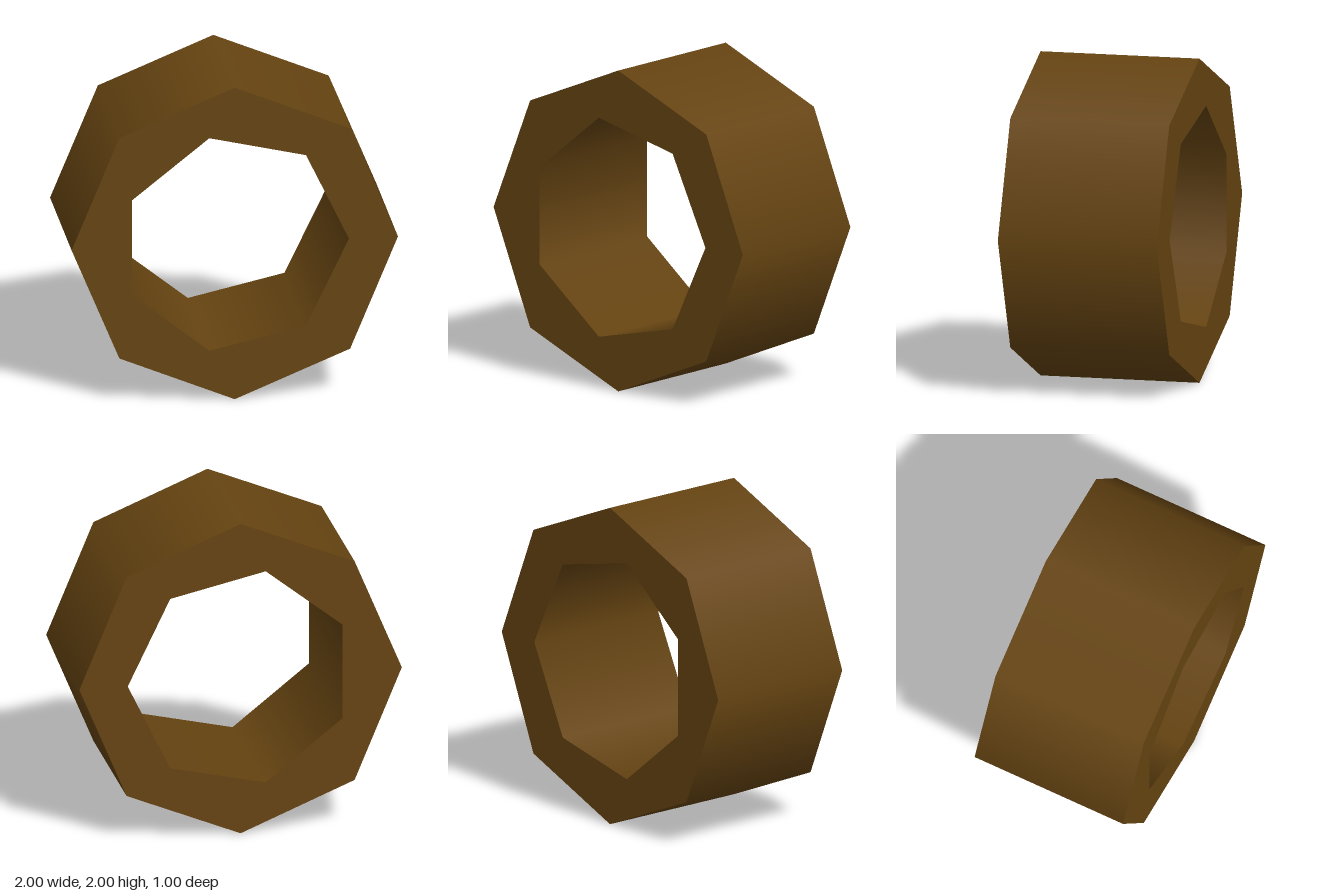
import * as THREE from 'three';

const OUTER_R = 1, OUTER_SIDES = 8;
const INNER_R = 0.7, INNER_SIDES = 7;
const HALF_DEPTH = 0.5;

// Corners of a regular polygon with its first corner on +x
function polygon(radius, sides) {
  return Array.from({ length: sides }, (_, i) => {
    const a = (i / sides) * Math.PI * 2;
    return new THREE.Vector2(Math.cos(a) * radius, Math.sin(a) * radius);
  });
}

// Smooth-shaded wall along z; direction 1 faces outward, -1 faces the bore
function wall(radius, sides, direction) {
  const h = HALF_DEPTH * direction;
  const profile = [new THREE.Vector2(radius, -h), new THREE.Vector2(radius, h)];
  return new THREE.LatheGeometry(profile, sides, Math.PI / 2).rotateX(Math.PI / 2);
}

export function createModel() {
  const material = new THREE.MeshStandardMaterial({ color: 0x664411 });
  const ring = new THREE.Group();
  ring.name = 'ring';
  ring.position.y = OUTER_R;

  const add = (name, geometry) => {
    const mesh = new THREE.Mesh(geometry, material);
    mesh.name = name;
    ring.add(mesh);
    return mesh;
  };

  // Eight-sided outside and seven-sided bore
  add('outerWall', wall(OUTER_R, OUTER_SIDES, 1));
  add('innerWall', wall(INNER_R, INNER_SIDES, -1));

  // Flat end faces with the bore cut out
  const face = new THREE.Shape(polygon(OUTER_R, OUTER_SIDES));
  face.holes.push(new THREE.Path(polygon(INNER_R, INNER_SIDES)));
  add('frontFace', new THREE.ShapeGeometry(face).translate(0, 0, HALF_DEPTH));
  // Turning about x keeps the bore's corner on +x
  add('backFace', new THREE.ShapeGeometry(face).rotateX(Math.PI).translate(0, 0, -HALF_DEPTH));

  const model = new THREE.Group();
  model.name = 'facetedRing';
  model.add(ring);
  return model;
}
